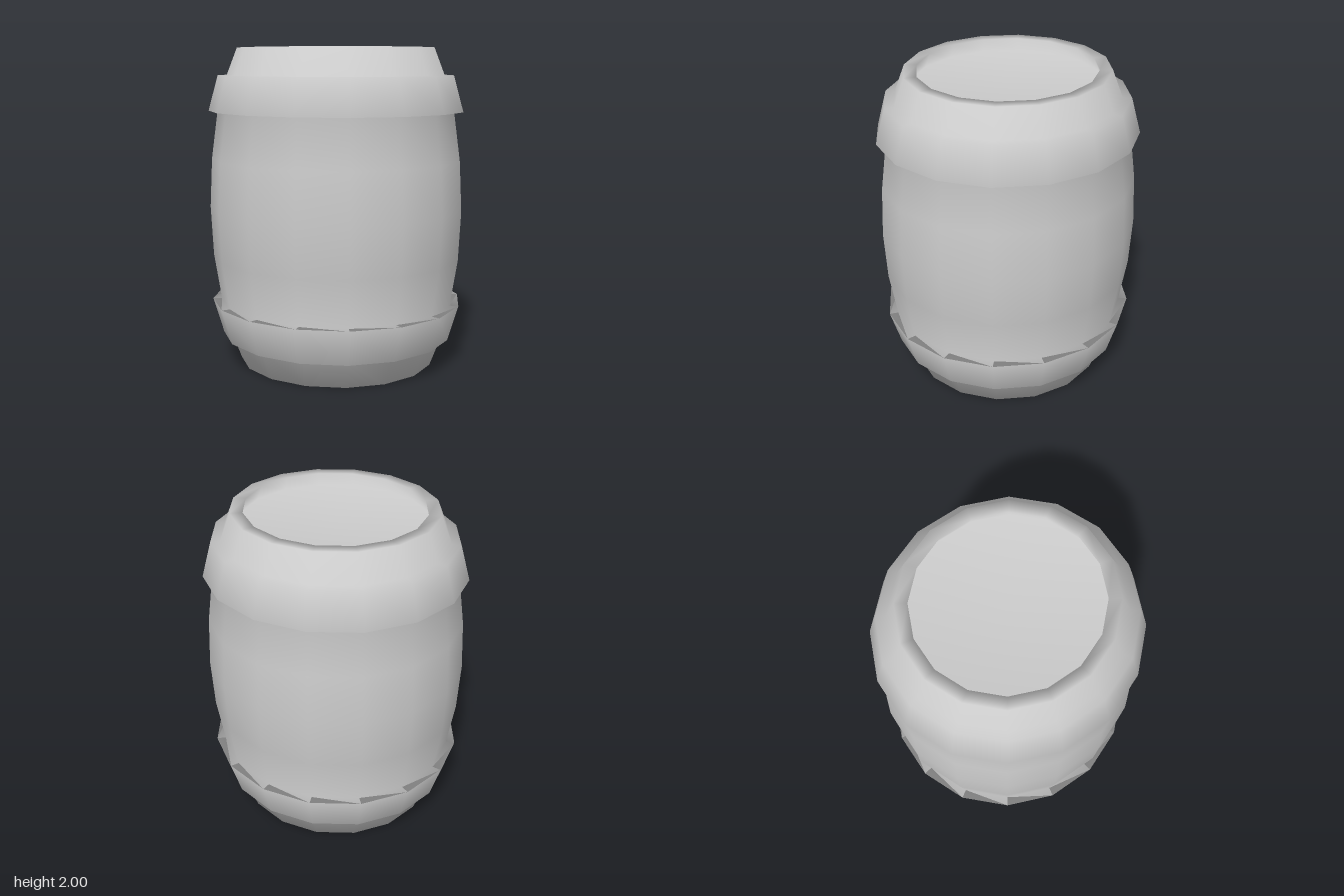
import * as THREE from 'three';

const SIDES = 16;
const DEPTH_RATIO = 1.032; // slightly deeper than wide

export function createModel() {
  const group = new THREE.Group();
  group.name = 'barrel';

  // One continuous profile [radius, height], so the shading flows over every ledge
  const profile = [
    [0, 0], [0.61, 0], [0.675, 0.175],               // base
    [0.72, 0.175], [0.785, 0.4],                     // lower hoop
    [0.73, 0.4], [0.775, 0.69], [0.79, 1],           // bulging staves
    [0.775, 1.31], [0.735, 1.61],
    [0.79, 1.61], [0.73, 1.83],                      // upper hoop
    [0.675, 1.83], [0.61, 2], [0.535, 2],            // neck and rim
    [0.57, 1.91], [0, 1.91],                         // recessed lid
  ].map(([r, y]) => new THREE.Vector2(r, y));

  const geometry = new THREE.LatheGeometry(profile, SIDES);
  geometry.scale(1, 1, DEPTH_RATIO);

  const body = new THREE.Mesh(
    geometry,
    new THREE.MeshStandardMaterial({ color: 0xcccccc })
  );
  body.name = 'barrelBody';
  group.add(body);
  return group;
}
